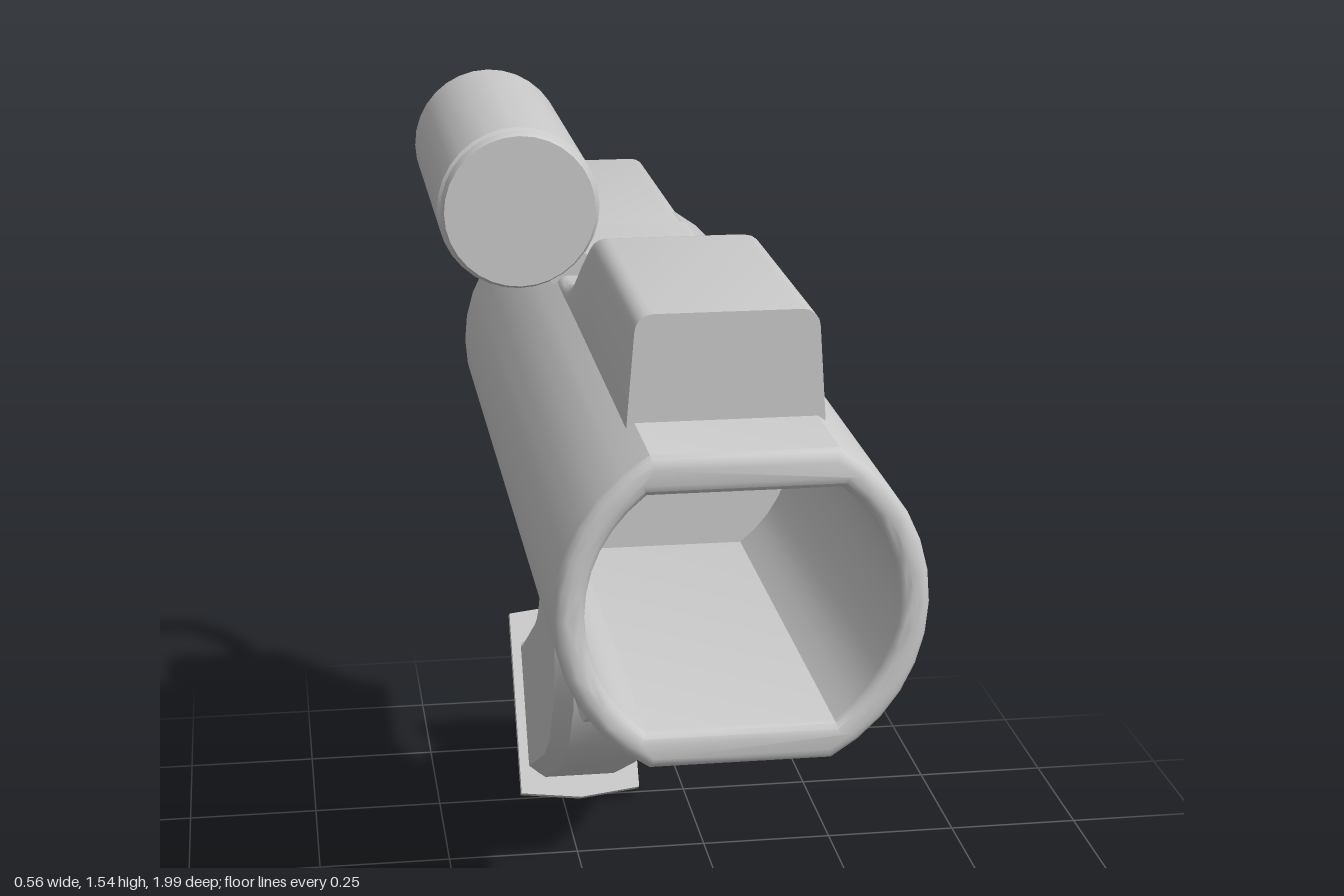
import * as THREE from 'three';
import { toCreasedNormals } from 'three/addons/utils/BufferGeometryUtils.js';

const AXIS_X = 0.034; // centre plane of the body
const BORE_Y = 1.088;

export function createModel() {
  const group = new THREE.Group();
  const material = new THREE.MeshStandardMaterial({ color: 0xcccccc });

  function add(name, geometry, x = 0, y = 0, z = 0, crease = 0.6) {
    const mesh = new THREE.Mesh(toCreasedNormals(geometry, crease), material);
    mesh.name = name;
    mesh.position.set(x, y, z);
    group.add(mesh);
    return mesh;
  }

  // Side profile given as (z, y), extruded across x with chamfered edges
  function sideExtrude(shape, width, chamferX = 0, chamferZ = 0) {
    const g = new THREE.ExtrudeGeometry(shape, {
      depth: width - 2 * chamferX, curveSegments: 6, bevelEnabled: chamferX > 0,
      bevelThickness: chamferX, bevelSize: chamferZ, bevelOffset: -chamferZ, bevelSegments: 1,
    });
    g.translate(0, 0, -(width - 2 * chamferX) / 2);
    return g.rotateY(-Math.PI / 2);
  }

  // Circle with flattened top and bottom
  function flatCircle(path, r, flat) {
    const a = Math.asin(flat / r), n = 12;
    for (const start of [-a, Math.PI - a]) {
      for (let i = 0; i <= n; i++) {
        const t = start + (2 * a * i) / n;
        const x = r * Math.cos(t), y = r * Math.sin(t);
        if (start === -a && i === 0) path.moveTo(x, y);
        else path.lineTo(x, y);
      }
    }
    path.closePath();
    return path;
  }

  // Cross-section with rounded corners, counter-clockwise from the front
  function section(z, wBottom, wTop, yb, yt, rBottom, rTop) {
    const pts = [];
    const corners = [[1, yb, wBottom, rBottom, -1], [1, yt, wTop, rTop, 0],
      [-1, yt, wTop, rTop, 1], [-1, yb, wBottom, rBottom, 2]];
    for (const [sx, y, w, r, q] of corners) {
      const cx = sx * (w - r), cy = y === yb ? y + r : y - r;
      for (let i = 0; i <= 4; i++) {
        const t = (q + i / 4) * Math.PI / 2;
        pts.push(new THREE.Vector3(cx + r * Math.cos(t), cy + r * Math.sin(t), z));
      }
    }
    return pts;
  }

  // Skin over sections that run from front to back, with end caps
  function loft(sections) {
    const pos = [];
    const tri = (...ps) => ps.forEach((p) => pos.push(p.x, p.y, p.z));
    const n = sections[0].length, last = sections[sections.length - 1];
    for (let s = 0; s < sections.length - 1; s++) {
      for (let i = 0; i < n; i++) {
        const j = (i + 1) % n, A = sections[s], B = sections[s + 1];
        tri(A[i], B[i], A[j]);
        tri(A[j], B[i], B[j]);
      }
    }
    for (let i = 1; i < n - 1; i++) {
      tri(sections[0][0], sections[0][i], sections[0][i + 1]);
      tri(last[0], last[i + 1], last[i]);
    }
    const g = new THREE.BufferGeometry();
    g.setAttribute('position', new THREE.Float32BufferAttribute(pos, 3));
    return g;
  }

  // Barrel with a blind bore
  const barrelShape = flatCircle(new THREE.Shape(), 0.246, 0.214);
  barrelShape.holes.push(flatCircle(new THREE.Path(), 0.205, 0.162));
  const bevel = 0.016;
  add('barrel', new THREE.ExtrudeGeometry(barrelShape, {
    depth: 1.35 - 2 * bevel, bevelThickness: bevel, bevelSize: bevel, bevelOffset: -bevel, bevelSegments: 3,
  }), AXIS_X, BORE_Y, -0.35 + bevel);
  add('borePlug', new THREE.ExtrudeGeometry(flatCircle(new THREE.Shape(), 0.212, 0.17),
    { depth: 0.645, bevelEnabled: false }), AXIS_X, BORE_Y, -0.345);

  // Receiver block with rounded rear edges
  add('receiver', loft([[-0.2, 0], [-0.77, 0], [-0.784, 0.005], [-0.79, 0.018]].map(([z, d]) =>
    section(z, 0.132 - d, 0.132 - d, 0.857 + d, 1.304 - d, 0.035, 0.025))), AXIS_X);

  // Rail below the barrel
  add('lowerRail', loft([0.85, -0.25].map((z) =>
    section(z, 0.132, 0.132, 0.857, 0.915, 0.035, 0.005))), AXIS_X);

  // Raised housing on top, sloping down to the receiver
  const slope = [[0.85, 1.447], [0.44, 1.447], [0.4, 1.438], [0.33, 1.395], [0.26, 1.346],
    [0.2, 1.32], [0.15, 1.308], [0.1, 1.304], [-0.25, 1.304]];
  add('topHousing', loft(slope.map(([z, y]) =>
    section(z, 0.134, 0.134 - 0.012 * (y - 1.304) / 0.143, 1.268, y, 0.004, Math.min(0.024, (y - 1.27) * 0.5)))),
  AXIS_X);

  // Round rails along both sides of the receiver
  for (const side of [-1, 1]) {
    const rail = new THREE.CylinderGeometry(0.04, 0.04, 0.47, 16).rotateX(Math.PI / 2);
    add(side > 0 ? 'leftSideRail' : 'rightSideRail', rail, AXIS_X + side * 0.126, 0.955, -0.535);
  }

  // Grip
  const grip = new THREE.Shape();
  grip.moveTo(-0.21, 0.9);
  grip.lineTo(-0.23, 0.857);
  grip.quadraticCurveTo(-0.285, 0.82, -0.285, 0.74);
  grip.quadraticCurveTo(-0.285, 0.65, -0.24, 0.6);
  [[-0.23, 0.56], [-0.257, 0.41], [-0.345, 0.285], [-0.44, 0.212], [-0.745, 0.047], [-0.908, 0.3],
    [-0.865, 0.312], [-0.6, 0.468]].forEach((p) => grip.lineTo(...p));
  grip.quadraticCurveTo(-0.505, 0.53, -0.505, 0.64);
  grip.lineTo(-0.505, 0.71);
  grip.quadraticCurveTo(-0.51, 0.82, -0.64, 0.865);
  grip.lineTo(-0.66, 0.9);
  add('grip', sideExtrude(grip, 0.205, 0.033, 0.024), AXIS_X, 0, 0, 0.45);

  // Plate closing the grip, with slightly pointed ends
  const plate = new THREE.Shape([[-0.12, -0.186], [0, -0.2], [0.12, -0.186], [0.12, 0.186], [0, 0.2],
    [-0.12, 0.186]].map((p) => new THREE.Vector2(...p)));
  add('gripPlate', new THREE.ExtrudeGeometry(plate, { depth: 0.026, bevelEnabled: false })
    .translate(0, 0, -0.013), AXIS_X, 0.174, -0.833, 0.1).rotation.x = -0.584;

  // Trigger guard
  const guard = new THREE.Shape();
  guard.moveTo(0.185, 0.88);
  guard.lineTo(0.185, 0.62);
  guard.quadraticCurveTo(0.18, 0.565, 0.12, 0.56);
  guard.lineTo(-0.27, 0.56);
  guard.lineTo(-0.27, 0.6);
  guard.lineTo(0.12, 0.6);
  guard.quadraticCurveTo(0.143, 0.602, 0.145, 0.63);
  guard.lineTo(0.145, 0.88);
  add('triggerGuard', sideExtrude(guard, 0.205), AXIS_X);

  // Trigger
  const trigger = new THREE.Shape();
  trigger.moveTo(-0.24, 0.87);
  trigger.quadraticCurveTo(-0.29, 0.74, -0.24, 0.63);
  trigger.lineTo(-0.27, 0.62);
  trigger.lineTo(-0.33, 0.7);
  trigger.lineTo(-0.33, 0.87);
  add('trigger', sideExtrude(trigger, 0.1), AXIS_X);

  // Gas tank lying beside the top of the receiver
  const tank = [[0, -0.1], [0.118, -0.1], [0.122, -0.09], [0.122, -0.08], [0.127, -0.075], [0.127, 0.43],
    [0.12, 0.465], [0.105, 0.49], [0.085, 0.505], [0.085, 0.59], [0, 0.59]];
  add('tank', new THREE.LatheGeometry(tank.map((p) => new THREE.Vector2(...p)), 32)
    .rotateX(-Math.PI / 2), -0.157, 1.411, 0);

  // Brackets holding the tank
  for (const [name, z, len] of [['frontBracket', 0.04, 0.09], ['rearBracket', -0.547, 0.086]]) {
    add(name, new THREE.BoxGeometry(0.07, 0.12, len), -0.088, 1.325, z).rotation.z = 0.7;
  }

  // Hose looping from the tank neck into the back of the receiver
  const hose = new THREE.CatmullRomCurve3([[-0.16, 1.41, -0.57], [-0.158, 1.41, -0.68], [-0.14, 1.395, -0.83],
    [-0.1, 1.355, -0.935], [-0.05, 1.295, -0.968], [0, 1.235, -0.925], [0.03, 1.212, -0.85],
    [0.037, 1.21, -0.76]].map((p) => new THREE.Vector3(...p)));
  add('hose', new THREE.TubeGeometry(hose, 40, 0.027, 12), 0, 0, 0, 1);

  return group;
}
